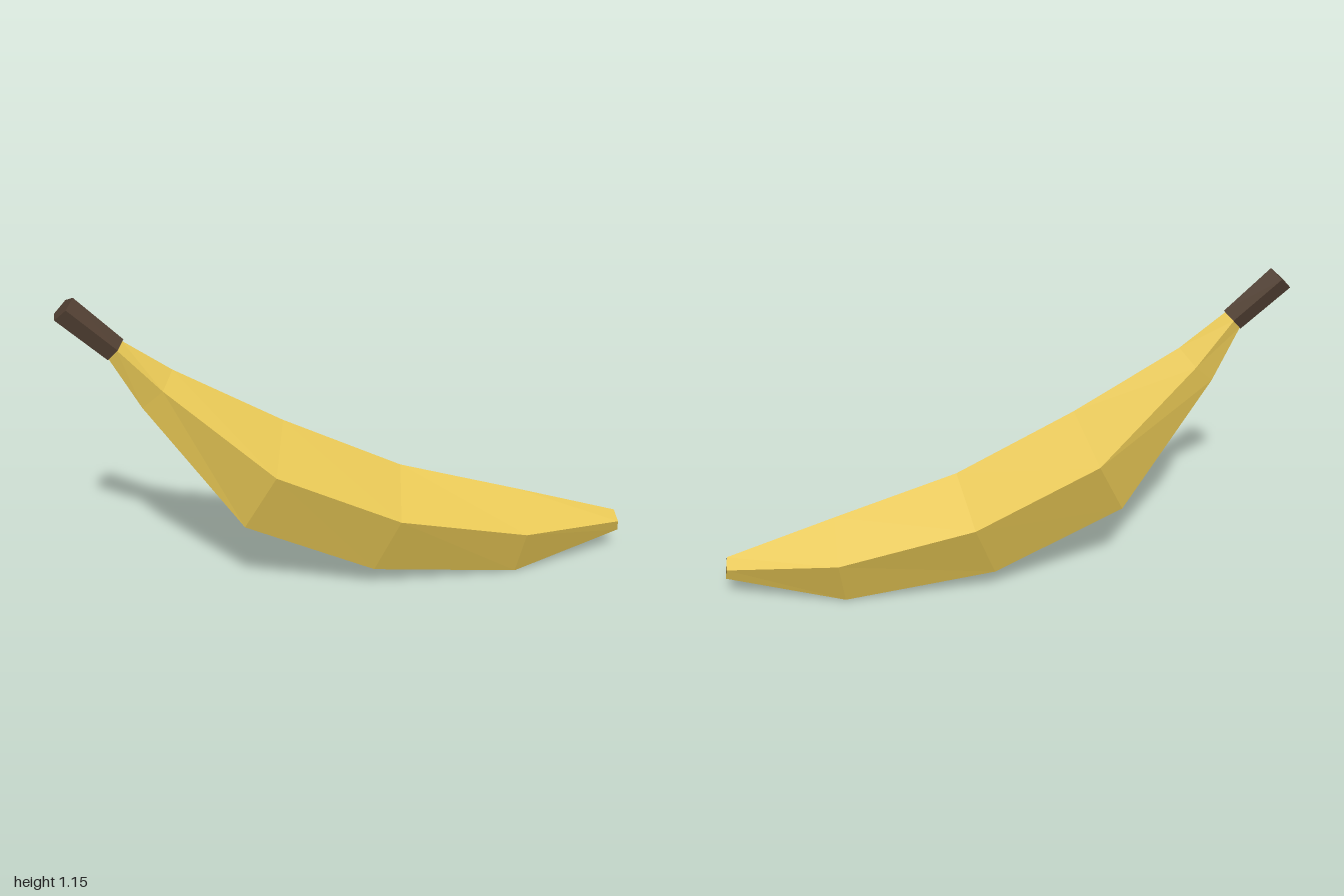
import * as THREE from 'three';

// Five-sided section: [topX, topY, sideX, sideY, sideZ, bottomX, bottomY, bottomZ, centreZ]
function ring([tx, ty, sx, sy, sz, bx, by, bz, c = 0]) {
  return [[tx, ty, c], [sx, sy, c + sz], [bx, by, c + bz], [bx, by, c - bz], [sx, sy, c - sz]];
}

function geometryFrom(points) {
  const g = new THREE.BufferGeometry();
  g.setAttribute('position', new THREE.Float32BufferAttribute(points.flat(), 3));
  g.computeVertexNormals();
  return g;
}

// Flat end face, wound towards +x unless reversed
function capPoints(r, reversed = false) {
  const out = [];
  for (let j = 1; j < r.length - 1; j++) {
    out.push(...(reversed ? [r[0], r[j + 1], r[j]] : [r[0], r[j], r[j + 1]]));
  }
  return out;
}

// Skin between neighbouring sections, running towards +x
function skinPoints(rings) {
  const out = [];
  for (let i = 0; i < rings.length - 1; i++) {
    const n = rings[i].length;
    for (let j = 0; j < n; j++) {
      const k = (j + 1) % n;
      const a = rings[i][j], b = rings[i][k], c = rings[i + 1][k], d = rings[i + 1][j];
      out.push(a, b, c, a, c, d);
    }
  }
  return out;
}

export function createModel() {
  const peel = new THREE.MeshStandardMaterial({ color: 0xe6c654 });
  peel.name = 'yellowPeel';
  const brown = new THREE.MeshStandardMaterial({ color: 0x524033 });
  brown.name = 'brownStem';
  peel.flatShading = brown.flatShading = true;

  const group = new THREE.Group();
  group.name = 'banana';
  const add = (name, points, material) => {
    const mesh = new THREE.Mesh(geometryFrom(points), material);
    mesh.name = name;
    group.add(mesh);
  };

  // Curved fruit, from the stem down to the blossom end
  const body = [
    [-0.79, 0.99, -0.81, 0.975, 0.042, -0.838, 0.94, 0.026, 0.01],
    [-0.63, 0.87, -0.67, 0.828, 0.082, -0.74, 0.76, 0.05],
    [-0.26, 0.65, -0.315, 0.53, 0.205, -0.42, 0.31, 0.127],
    [0.16, 0.435, 0.12, 0.313, 0.205, 0.04, 0.087, 0.127],
    [0.6, 0.293, 0.6, 0.18, 0.153, 0.58, 0, 0.095],
    [0.99, 0.163, 0.993, 0.135, 0.043, 1, 0.09, 0.027],
  ].map(ring);
  add('peel', skinPoints(body), peel);

  // Dark blossom end
  add('tip', capPoints(body[body.length - 1]), brown);

  // Stem, closed at both ends
  const stem = [
    [-0.935, 1.147, -0.96, 1.123, 0.05, -1, 1.085, 0.031],
    [-0.784, 0.995, -0.806, 0.975, 0.046, -0.84, 0.936, 0.028, 0.01],
  ].map(ring);
  add('stem', [...skinPoints(stem), ...capPoints(stem[0], true), ...capPoints(stem[1])], brown);

  return group;
}
